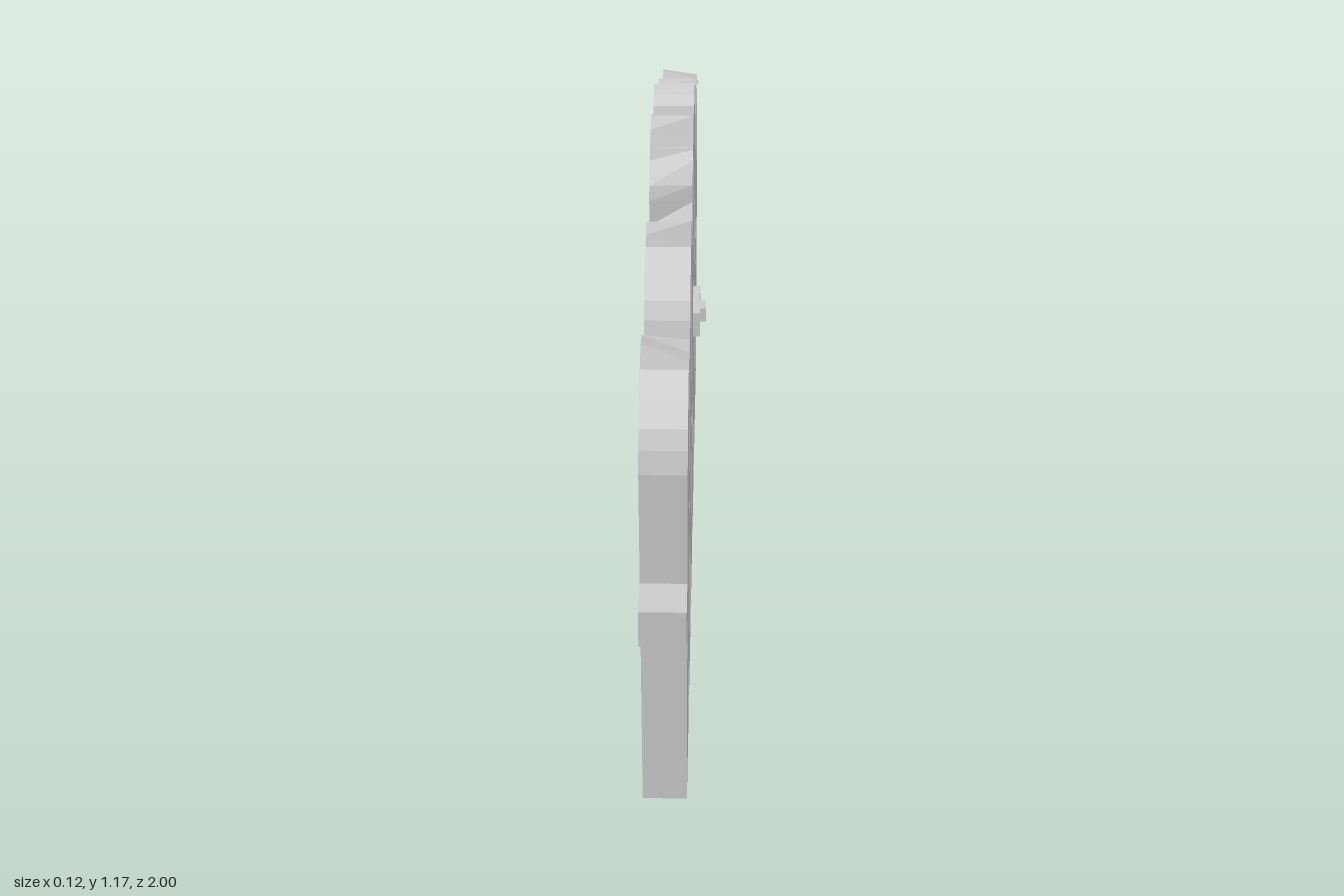
import * as THREE from 'three';

const material = new THREE.MeshStandardMaterial({ color: 0xcccccc, flatShading: true });
const FRONT = 0.03, BACK = -0.06, WIDTH = 0.248;
const OUTER = [0.912, 0.594, 0.27]; // outer edges of the planks in each half

// Arched top shared by the planks: [distance from outer edge, drop below the peak]
const ARCH = [[0, 0.18], [0.012, 0.135], [0.03, 0.1], [0.065, 0.06], [0.115, 0.025],
  [0.17, 0], [0.21, 0.012], [0.237, 0.03], [WIDTH, 0.05]];

// Worn plank. Each chip is [first arch point, number replaced, ...new points], listed from
// the inner edge outwards; a point is [v, y] or, where slanted, [v, y, vBack, yBack].
function plank(name, side, outer, height, chips) {
  const top = ARCH.map(([v, drop]) => [v, height - drop]);
  for (const [start, count, ...points] of chips) top.splice(start, count, ...points);
  const outline = [[0, 0], [WIDTH, 0], ...top.reverse()];
  if (side < 0) outline.reverse();
  const point = (v, y) => new THREE.Vector2(side * (v - outer), y);
  const front = outline.map(p => point(p[0], p[1]));
  const back = outline.map(p => point(p[2] ?? p[0], p[3] ?? p[1]));

  // Front face, back face and the rim between them
  const out = [];
  const f = i => out.push(FRONT, front[i].y, -front[i].x);
  const b = i => out.push(BACK, back[i].y, -back[i].x);
  for (const [i, j, k] of THREE.ShapeUtils.triangulateShape(front, [])) { f(i); f(j); f(k); }
  for (const [i, j, k] of THREE.ShapeUtils.triangulateShape(back, [])) { b(k); b(j); b(i); }
  for (let i = 0; i < outline.length; i++) {
    const j = (i + 1) % outline.length;
    f(i); b(i); b(j);
    f(i); b(j); f(j);
  }
  const geometry = new THREE.BufferGeometry();
  geometry.setAttribute('position', new THREE.Float32BufferAttribute(out, 3));
  geometry.computeVertexNormals();
  const mesh = new THREE.Mesh(geometry, material);
  mesh.name = name;
  return mesh;
}

// Box given by its limits on each axis
function box(name, x0, x1, y0, y1, z0, z1) {
  const mesh = new THREE.Mesh(new THREE.BoxGeometry(x1 - x0, y1 - y0, z1 - z0), material);
  mesh.position.set((x0 + x1) / 2, (y0 + y1) / 2, (z0 + z1) / 2);
  mesh.name = name;
  return mesh;
}

export function createModel() {
  const gate = new THREE.Group();
  gate.name = 'picketGate';

  // Left half: chipped tops, one notched inner edge on each taller plank
  gate.add(plank('leftOuterPlank', 1, OUTER[0], 0.963, [
    [5, 3, [0.17, 0.925, 0.165, 0.963], [0.2, 0.928, 0.215, 0.957], [0.237, 0.935]]]));
  gate.add(plank('leftMiddlePlank', 1, OUTER[1], 1.061, [
    [9, 0, [WIDTH, 0.834], [0.2, 0.797, 0.238, 0.8], [0.225, 0.765, 0.242, 0.77], [WIDTH, 0.743]],
    [5, 2, [0.17, 1.015, 0.14, 1.05], [0.21, 1.05, 0.18, 1.061]]]));
  gate.add(plank('leftInnerPlank', 1, OUTER[2], 1.166, [
    [9, 0, [WIDTH, 0.86], [0.225, 0.835], [WIDTH, 0.79]],
    [4, 1, [0.08, 1.125, 0.075, 1.13], [0.125, 1.118, 0.115, 1.155]],
    [1, 2, [0.025, 1.03, 0.005, 1.04], [0.03, 1.065, 0.015, 1.07]]]));

  // Right half
  gate.add(plank('rightInnerPlank', -1, OUTER[2], 1.166, [
    [7, 2, [0.229, 1.135], [0.239, 1.105], [0.229, 1.07], [WIDTH, 1.04]],
    [0, 4, [0, 0.98, 0, 1.02], [0.009, 1.035, 0.019, 1.075], [0.069, 1.08, 0.049, 1.11], [0.079, 1.13]]]));
  gate.add(plank('rightMiddlePlank', -1, OUTER[1], 1.061, [
    [6, 3, [0.18, 1.055, 0.215, 1.058], [0.21, 1.03, 0.24, 1.04], [WIDTH, 1],
      [WIDTH, 0.84], [0.23, 0.8], [WIDTH, 0.785]]]));
  gate.add(plank('rightOuterPlank', -1, OUTER[0], 0.953, [
    [0, 9, [0, 0.78], [0.044, 0.82], [0.034, 0.89], [0.074, 0.925, 0.079, 0.94],
      [0.129, 0.93, 0.124, 0.953], [0.179, 0.935, 0.189, 0.942], [0.224, 0.925, 0.229, 0.93], [WIDTH, 0.91]]]));

  // Rails: pieces flush with the planks, filling the gaps and the outer ends
  OUTER.forEach((z0, i) => {
    const z1 = i ? OUTER[i - 1] - WIDTH : 1;
    gate.add(box(`leftRail${i + 1}`, BACK, FRONT, 0.46, 0.54, z0, z1));
    gate.add(box(`rightRail${i + 1}`, BACK, FRONT, 0.46, 0.54, -z1, -z0));
  });

  // Latch across the middle gap
  const latch = new THREE.Group();
  latch.name = 'latch';
  latch.add(box('latchPlate', 0.028, 0.046, 0.617, 0.677, -0.065, 0.075));
  latch.add(box('latchKnob', 0.045, 0.06, 0.63, 0.664, -0.015, 0.025));
  gate.add(latch);

  return gate;
}
